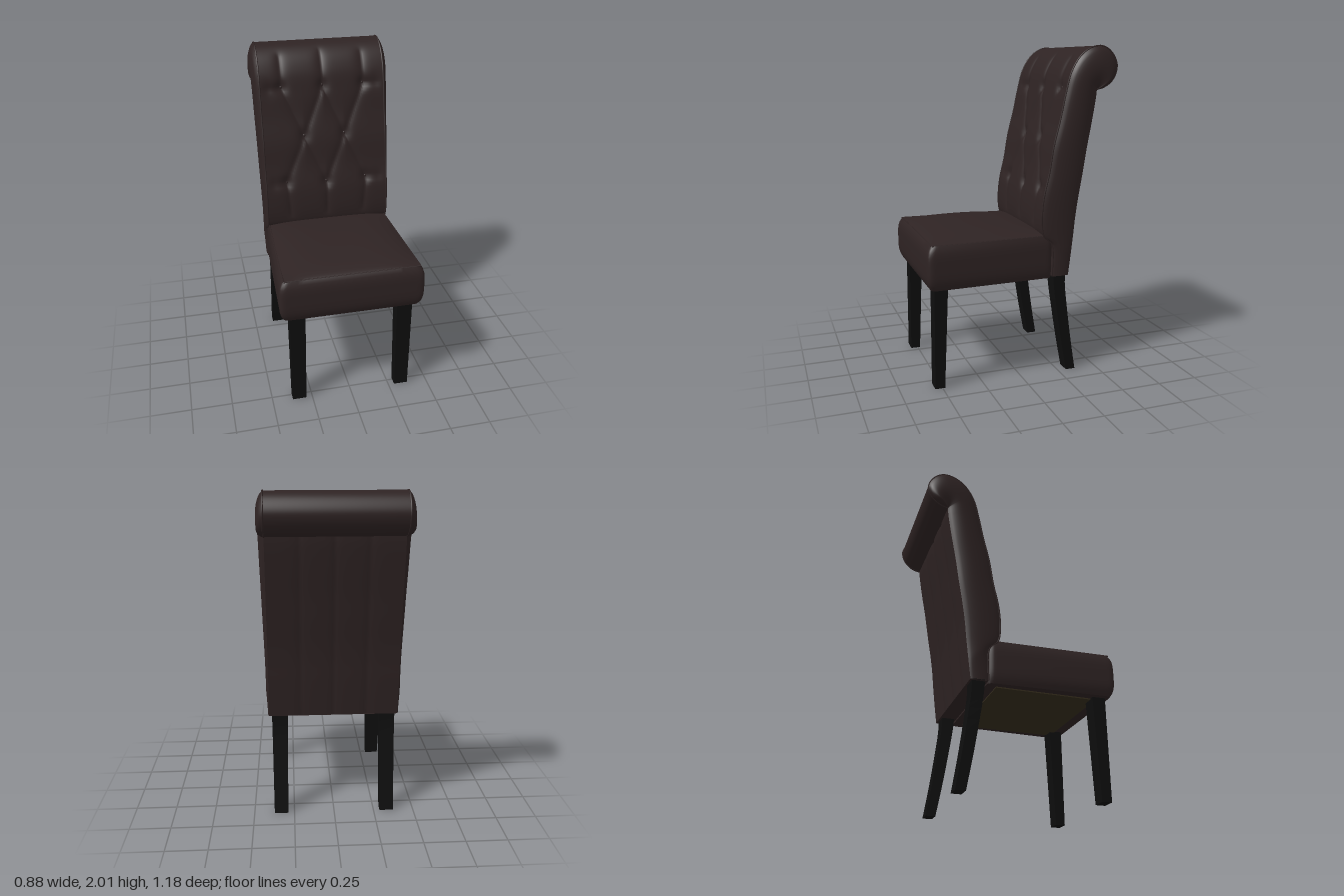
import * as THREE from 'three';
import { mergeVertices, toCreasedNormals } from 'three/addons/utils/BufferGeometryUtils.js';

const material = (name, color) => {
  const m = new THREE.MeshStandardMaterial({ color, side: THREE.DoubleSide });
  m.name = name;
  return m;
};

// Smooth grid surface from f(u, v) -> [x, y, z]
function surface(f, nu, nv) {
  const pos = [], idx = [], row = nv + 1;
  for (let i = 0; i <= nu; i++) {
    for (let j = 0; j <= nv; j++) {
      pos.push(...f(i / nu, j / nv));
      if (i < nu && j < nv) {
        const a = i * row + j;
        idx.push(a, a + 1, a + row, a + 1, a + row + 1, a + row);
      }
    }
  }
  const g = new THREE.BufferGeometry();
  g.setAttribute('position', new THREE.Float32BufferAttribute(pos, 3));
  g.setIndex(idx);
  g.computeVertexNormals();
  return g;
}

// Curve in the side plane from [z, y] pairs
const sideCurve = (pts) => new THREE.CatmullRomCurve3(pts.map(([z, y]) => new THREE.Vector3(0, y, z)));

// Distance from (x, y) to a segment
function segDist(x, y, [[ax, ay], [bx, by]]) {
  const dx = bx - ax, dy = by - ay;
  const t = THREE.MathUtils.clamp(((x - ax) * dx + (y - ay) * dy) / (dx * dx + dy * dy), 0, 1);
  return Math.hypot(x - ax - t * dx, y - ay - t * dy);
}

export function createModel() {
  const model = new THREE.Group();
  const leather = material('brown leather', 0x2e2323);
  const wood = material('black wood', 0x0e0e0e);
  const lining = material('olive lining', 0x352d1d);
  const add = (name, geometry, mat, parent = model) => {
    const mesh = new THREE.Mesh(geometry, mat);
    mesh.name = name;
    parent.add(mesh);
    return mesh;
  };
  const { lerp, smoothstep } = THREE.MathUtils;

  // Backrest profile: the front runs over the scroll to the notch, the back runs up to it
  const frontPts = [[-.19, .63], [-.185, .83], [-.135, .88], [-.12, .95], [-.128, 1.1], [-.165, 1.27],
    [-.19, 1.42], [-.23, 1.58], [-.26, 1.72], [-.295, 1.85], [-.35, 1.94], [-.42, 1.99], [-.49, 2],
    [-.55, 1.965], [-.588, 1.89], [-.565, 1.81], [-.51, 1.765], [-.46, 1.75]];
  const backPts = [[-.295, .63], [-.31, .75], [-.325, .88], [-.335, .98], [-.352, 1.1], [-.378, 1.25],
    [-.402, 1.4], [-.43, 1.55], [-.455, 1.7], [-.46, 1.75]];
  const front = sideCurve(frontPts), rear = sideCurve(backPts);
  const notch = (backPts.length - 1) / (frontPts.length - 1);
  const rearAt = (u) => rear.getPoint(Math.min(1, u / notch));
  const W = 0.395;

  // Tufting: creases and buttons for one half, mirrored by |x|
  const buttons = [[0, 1.76], [.26, 1.76], [.13, 1.46], [0, 1.16], [.26, 1.17]];
  const [b0, b1, b2, b3, b4] = buttons;
  const creases = [[b0, b2], [b2, b3], [b1, b2], [b2, b4], [b0, [0, 1.96]], [b1, [.26, 1.94]],
    [b3, [0, .95]], [b4, [.24, .95]], [b1, [.395, 1.76]], [b4, [.395, 1.17]]];
  function tuft(x, y, u) {
    const ax = Math.abs(x);
    let crease = 1, dimple = 1;
    for (const c of creases) crease = Math.min(crease, segDist(ax, y, c));
    for (const b of buttons) dimple = Math.min(dimple, Math.hypot(ax - b[0], y - b[1]));
    const depth = 0.013 * Math.exp(-crease / 0.025) + 0.016 * Math.exp(-((dimple / 0.035) ** 2));
    const fade = smoothstep(W - ax, 0, 0.06) * smoothstep(y, 0.88, 1.0) * (1 - smoothstep(u, 0.55, 0.66));
    return -depth * fade;
  }
  function frontPoint(u, x) {
    const p = front.getPoint(u), t = front.getTangent(u);
    const d = tuft(x, p.y, u);
    return [x, p.y - t.z * d, p.z + t.y * d];
  }

  const backrest = new THREE.Group();
  backrest.name = 'backrest';
  model.add(backrest);
  add('tuftedFront', surface((u, v) => frontPoint(u, (2 * v - 1) * W), 136, 84), leather, backrest);

  // Rear panel with three vertical seams
  add('rearPanel', surface((u, v) => {
    const x = (1 - 2 * v) * W, p = rearAt(u * notch);
    const d = Math.min(Math.abs(x), Math.abs(Math.abs(x) - 0.2));
    return [x, p.y, p.z + 0.008 * Math.exp(-d / 0.025) * smoothstep(W - Math.abs(x), 0, 0.05)];
  }, 24, 64), leather, backrest);

  // Padded sides and edge piping
  for (const s of [1, -1]) {
    add(s > 0 ? 'leftSide' : 'rightSide', surface((u, v) => {
      const k = s > 0 ? v : 1 - v;
      const f = front.getPoint(u), r = rearAt(u);
      const puff = (0.012 + 0.03 * (f.y - 0.63) / 1.37) * Math.min(1, f.distanceTo(r) / 0.15);
      const x = W + puff * Math.max(0, Math.sin(Math.PI * k)) ** 0.6;
      return [s * x, lerp(f.y, r.y, k), lerp(f.z, r.z, k)];
    }, 102, 14), leather, backrest);
    const pipe = add('edgePiping', new THREE.TubeGeometry(front, 90, 0.005, 6), leather, backrest);
    pipe.position.x = s * W;
  }
  add('backrestBottom', surface((u, v) => [(2 * v - 1) * W, 0.63, lerp(-0.295, -0.19, u)], 1, 1), leather, backrest);

  // Small covered buttons sunk in the tufting
  for (const [bx, by] of buttons) {
    let u = 0.15;
    while (u < 0.6 && front.getPoint(u).y < by) u += 0.001;
    for (const x of bx ? [bx, -bx] : [0]) {
      const button = add('button', new THREE.SphereGeometry(0.011, 12, 8), leather, backrest);
      button.position.set(...frontPoint(u, x));
      button.scale.z = 0.5;
    }
  }

  // Seat cushion: a box tapered to the rear, with puffed sides and crowned top
  const halfW = (z) => lerp(0.39, 0.417, (z + 0.19) / 0.755);
  const seat = new THREE.BoxGeometry(2, 2, 2, 44, 12, 44);
  seat.deleteAttribute('normal');
  seat.deleteAttribute('uv');
  const p = seat.attributes.position, R = 0.03;
  for (let i = 0; i < p.count; i++) {
    const X = p.getX(i), Y = p.getY(i), Z = p.getZ(i);
    let z = lerp(-0.19, 0.565, (Z + 1) / 2);
    let x = X * halfW(z);
    // round the upright corners
    const cx = THREE.MathUtils.clamp(x, -halfW(z) + R, halfW(z) - R);
    const cz = THREE.MathUtils.clamp(z, -0.19 + R, 0.565 - R);
    const d = Math.hypot(x - cx, z - cz);
    if (d > R) {
      x = cx + (x - cx) * R / d;
      z = cz + (z - cz) * R / d;
    }
    const puff = 1 - Y ** 4;
    x += X * puff * lerp(0.012, 0.024, (Z + 1) / 2);
    z += Math.max(0, Z) * puff * 0.024;
    const crown = Y > 0.99 ? 0.045 * (1 - X ** 4) * (1 - Z * Z) ** 0.7 : 0;
    p.setXYZ(i, x, lerp(0.62, 0.885, (Y + 1) / 2) + crown, z);
  }
  add('seatCushion', toCreasedNormals(mergeVertices(seat, 1e-4), 0.7), leather);

  // Piping around the top edge of the seat
  const edge = new THREE.CurvePath();
  const corners = [[0.41, 0.56], [0.385, -0.18], [-0.385, -0.18], [-0.41, 0.56]]
    .map(([x, z]) => new THREE.Vector3(x, 0.884, z));
  corners.forEach((c, i) => edge.add(new THREE.LineCurve3(c, corners[(i + 1) % 4])));
  for (const line of edge.curves) add('seatPiping', new THREE.TubeGeometry(line, 1, 0.005, 6), leather);

  // Lining under the seat
  const panel = add('underLining', new THREE.BoxGeometry(0.7, 0.008, 0.62), lining);
  panel.position.set(0, 0.617, 0.18);

  // Square legs lofted along [y, z, half depth, half width]
  function leg(name, x, sections) {
    const g = new THREE.BoxGeometry(2, 1, 2, 1, sections.length - 1, 1);
    const q = g.attributes.position;
    for (let i = 0; i < q.count; i++) {
      const k = Math.round((q.getY(i) + 0.5) * (sections.length - 1));
      const [y, z, hd, hw] = sections[k];
      q.setXYZ(i, x + q.getX(i) * hw, y, z + q.getZ(i) * hd);
    }
    g.computeVertexNormals();
    add(name, g, wood);
  }
  const rearPath = sideCurve([[-.333, 0], [-.298, .2], [-.268, .4], [-.247, .56], [-.243, .64]]);
  const rearSections = Array.from({ length: 11 }, (_, i) => {
    const c = rearPath.getPoint(i / 10);
    return [i ? c.y : 0, c.z, lerp(0.03, 0.039, i / 10), lerp(0.043, 0.048, i / 10)];
  });
  for (const s of [1, -1]) {
    leg('frontLeg', s * 0.331, [[0, 0.515, 0.03, 0.043], [0.64, 0.5, 0.041, 0.048]]);
    leg('rearLeg', s * 0.331, rearSections);
  }
  return model;
}
